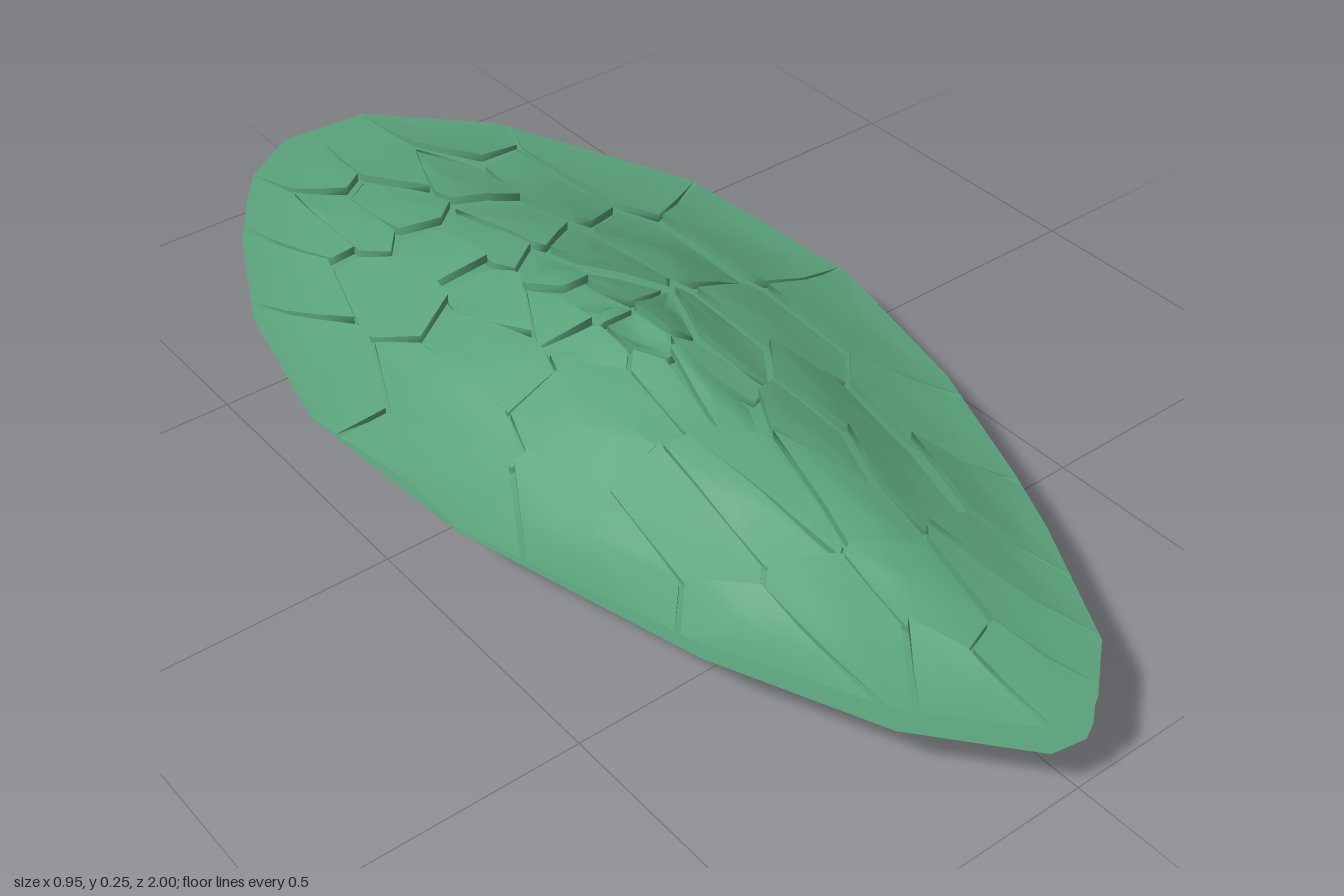
import * as THREE from 'three';

const MID = 0.1265; // height of the plane between the two shells

// convex outline of the shell in plan, [x, z]
const OUTLINE = [
  [-0.07, -1], [0.1, -0.99], [0.285, -0.8], [0.45, -0.41], [0.475, -0.01], [0.395, 0.32], [0.295, 0.57],
  [0.24, 0.69], [0.12, 0.91], [0.03, 0.985], [0, 1], [-0.06, 0.99], [-0.2, 0.83], [-0.325, 0.56],
  [-0.45, 0.13], [-0.48, -0.24], [-0.415, -0.53], [-0.31, -0.75], [-0.235, -0.86], [-0.18, -0.93],
];

// centres of the outer and middle plates, [x, z]
const SEEDS = [
  [0.33, -0.5], [0.36, -0.18], [0.36, 0.13], [0.27, 0.38], [0.2, 0.62], [0.18, -0.86], [0.02, -0.8],
  [0.09, -0.62], [0.22, -0.22], [0.19, -0.5], [-0.09, -0.88], [-0.06, -0.62], [-0.14, -0.66], [-0.21, -0.7],
  [-0.3, -0.58], [-0.22, -0.42], [-0.39, -0.34], [-0.31, -0.12], [-0.4, 0.02], [-0.32, 0.3], [-0.26, 0.64],
  [-0.2, 0.38], [-0.2, 0.1], [-0.2, -0.12], [-0.15, 0.66], [-0.1, 0.88], [-0.03, 0.72], [-0.02, 0.9],
  [0.06, 0.8], [0.12, 0.72], [0.22, 0.1], [0.12, 0.5], [0.15, 0.28], [-0.12, 0.42],
  [-0.06, 0.4], [0, 0.48], [0.06, 0.36], [-0.02, -0.38], [-0.09, -0.42], [0.07, -0.42], [0.09, -0.24],
  [-0.1, -0.25], [0, -0.22], [0, 0.01],
];
const TALL_SHARD = SEEDS.push([0, 0.17]) - 1;
// small shards bursting from the middle
for (let i = 1; i < 10; i++) {
  const a = (i / 10) * Math.PI * 2;
  const r = i % 2 ? 0.075 : 0.11;
  SEEDS.push([Math.sin(a) * r, 0.02 + Math.cos(a) * r * 1.7]);
}

let seed = 11;
const rand = () => (seed = (seed * 16807) % 2147483647) / 2147483647;
const clamp = THREE.MathUtils.clamp;

// 0 at the middle, 1 on the outline
function gauge(x, z) {
  let s = 0;
  OUTLINE.forEach(([ax, az], i) => {
    const [bx, bz] = OUTLINE[(i + 1) % OUTLINE.length];
    const nx = bz - az, nz = ax - bx;
    s = Math.max(s, (nx * x + nz * z) / (nx * ax + nz * az));
  });
  return s;
}

// dome profile from middle to rim, [gauge, height above rim]
const PROFILE = [[0, 0.074], [0.2, 0.073], [0.42, 0.063], [0.5, 0.05], [0.63, 0.03], [0.8, 0.012], [1, 0]];
function dome(x, z) {
  const g = gauge(x, z);
  const s = g - 0.4 * Math.max(0, z) * (1 - g); // fuller towards the front
  for (let i = 1; i < PROFILE.length; i++) {
    const [s0, h0] = PROFILE[i - 1], [s1, h1] = PROFILE[i];
    if (s <= s1) return h0 + ((h1 - h0) * (s - s0)) / (s1 - s0);
  }
  return 0;
}
const rim = (z) => 0.0005 + 0.0245 * Math.max(0, z); // shells part towards the front
const fade = (s) => clamp((1 - s) * 5, 0, 1);

// keep the part of a polygon where nx*x + nz*z <= d
function clip(poly, nx, nz, d) {
  const out = [];
  poly.forEach((p, i) => {
    const q = poly[(i + 1) % poly.length];
    const dp = nx * p[0] + nz * p[1] - d, dq = nx * q[0] + nz * q[1] - d;
    if (dp <= 0) out.push(p);
    if (dp * dq < 0) {
      const t = dp / (dp - dq);
      out.push([p[0] + (q[0] - p[0]) * t, p[1] + (q[1] - p[1]) * t]);
    }
  });
  return out;
}

// plate polygon around one seed, with a narrow crack left on every side
function cell(k) {
  let poly = OUTLINE;
  const [ax, az] = SEEDS[k];
  SEEDS.forEach(([bx, bz], j) => {
    if (j === k) return;
    const nx = 6 * (bx - ax), nz = bz - az;
    const d = (nx * (ax + bx) + nz * (az + bz)) / 2 - 0.0045 * Math.hypot(nx, nz);
    poly = clip(poly, nx, nz, d);
  });
  // split the edges so the plate follows the dome
  return poly.flatMap((p, i) => {
    const q = poly[(i + 1) % poly.length];
    const n = Math.max(1, Math.ceil(Math.hypot(q[0] - p[0], q[1] - p[1]) / 0.1));
    return Array.from({ length: n }, (_, m) => [p[0] + ((q[0] - p[0]) * m) / n, p[1] + ((q[1] - p[1]) * m) / n]);
  });
}

function buildGeometry(pos, idx) {
  const g = new THREE.BufferGeometry();
  g.setAttribute('position', new THREE.Float32BufferAttribute(pos, 3));
  g.setIndex(idx);
  g.computeVertexNormals();
  return g;
}

// slab tilted so its inner edge stands up, like a scale
function plateGeometry(poly, lift) {
  const n = poly.length, pos = [], idx = [];
  const cx = poly.reduce((a, p) => a + p[0], 0) / n, cz = poly.reduce((a, p) => a + p[1], 0) / n;
  const sc = gauge(cx, cz);
  const reach = sc - Math.min(...poly.map(([x, z]) => gauge(x, z))) + 0.01;
  const top = (x, z) => {
    const s = gauge(x, z);
    return rim(z) + dome(x, z) + lift * fade(s) * (0.25 + clamp((sc - s) / reach, -0.7, 1));
  };
  pos.push(cx, top(cx, cz), cz);
  for (const t of [0.5, 1]) {
    for (const [px, pz] of poly) {
      const x = cx + (px - cx) * t, z = cz + (pz - cz) * t;
      pos.push(x, top(x, z), z);
    }
  }
  // walls use their own vertices so the edge stays sharp
  for (const thick of [0, 0.016]) {
    for (const [x, z] of poly) pos.push(x, top(x, z) - thick * fade(gauge(x, z)), z);
  }
  for (let i = 0; i < n; i++) {
    const j = (i + 1) % n, a = 1 + i, b = 1 + j;
    idx.push(0, b, a, a, b, b + n, a, b + n, a + n);
    idx.push(a + 2 * n, b + 2 * n, b + 3 * n, a + 2 * n, b + 3 * n, a + 3 * n);
  }
  return buildGeometry(pos, idx);
}

// continuous dome under the plates
function liningGeometry() {
  const pos = [0, dome(0, 0) - 0.016, 0], idx = [], n = OUTLINE.length;
  const rings = [0.1, 0.2, 0.32, 0.42, 0.5, 0.63, 0.8, 0.9, 1];
  rings.forEach((s, r) => {
    OUTLINE.forEach(([ox, oz], i) => {
      const x = ox * s, z = oz * s;
      pos.push(x, rim(z) + Math.max(0, dome(x, z) - 0.016 * fade(s)), z);
      const a = 1 + r * n + i, b = 1 + r * n + ((i + 1) % n);
      if (r === 0) idx.push(0, b, a);
      else idx.push(a - n, b - n, b, a - n, b, a);
    });
  });
  return buildGeometry(pos, idx);
}

// mirrored copy with the corner order turned round
function flipped(g) {
  const pos = Array.from(g.attributes.position.array, (v, i) => (i % 3 === 1 ? -v : v));
  const idx = Array.from(g.index.array);
  for (let i = 0; i < idx.length; i += 3) [idx[i], idx[i + 1]] = [idx[i + 1], idx[i]];
  return buildGeometry(pos, idx);
}

export function createModel() {
  const green = new THREE.MeshStandardMaterial({ color: 0x5aa37b, side: THREE.DoubleSide });
  green.name = 'green stone';
  const model = new THREE.Group();
  model.name = 'crackedShell';
  const upper = new THREE.Group(), lower = new THREE.Group();
  upper.name = 'upperShell';
  lower.name = 'lowerShell';
  upper.position.y = lower.position.y = MID;

  const addPair = (geometry, name) => {
    const a = new THREE.Mesh(geometry, green), b = new THREE.Mesh(flipped(geometry), green);
    a.name = b.name = name;
    upper.add(a);
    lower.add(b);
  };

  addPair(liningGeometry(), 'lining');
  SEEDS.forEach((_, k) => {
    const poly = cell(k);
    if (poly.length < 3) return;
    const tall = k === TALL_SHARD;
    addPair(plateGeometry(poly, tall ? 0.041 : 0.008 + 0.018 * rand()), tall ? 'tallShard' : 'plate');
  });

  model.add(upper, lower);
  return model;
}
